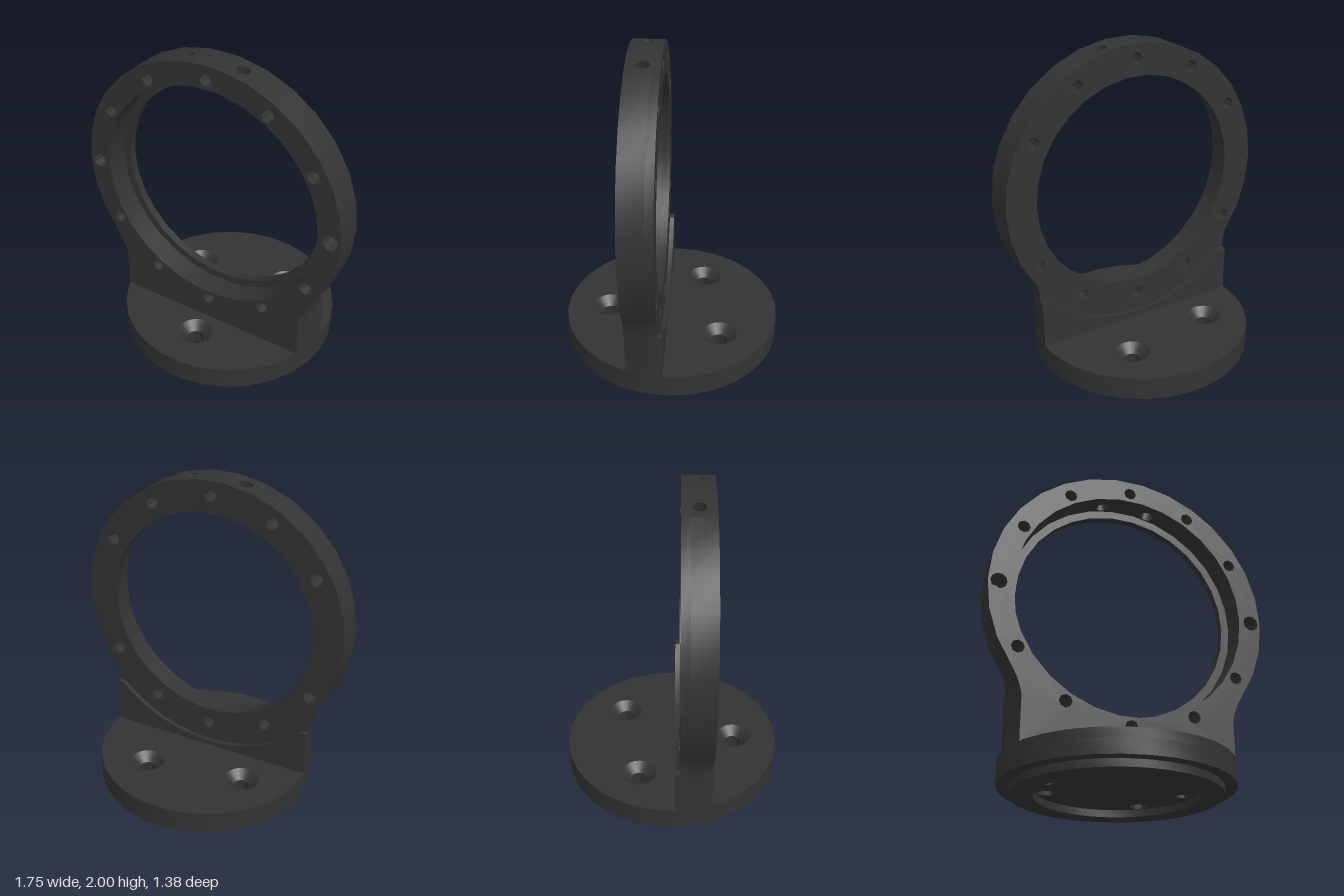
import * as THREE from 'three';
import { mergeGeometries, toCreasedNormals } from 'three/addons/utils/BufferGeometryUtils.js';

const RAD = Math.PI / 180;
const CY = 1.13;              // height of the ring centre
const OUTER = 0.875, BORE = 0.73, LIP = 0.68;
const BACK = 0.05, STEP = 0.10, FRONT = 0.25;
const BASE_R = 0.692, BASE_TOP = 0.19;
const SCREW_ANGLE = 12;       // radial screws sit on the facets 12 degrees off the top

const material = new THREE.MeshStandardMaterial({ color: 0x333333 });
const insideMaterial = new THREE.MeshStandardMaterial({ color: 0x333333, side: THREE.DoubleSide });

// Point on the ring, angle in degrees clockwise from the top
const ringPoint = (r, a) => new THREE.Vector2(r * Math.sin(a * RAD), CY + r * Math.cos(a * RAD));

function circle(x, y, r, n = 30, phase = 0) {
  return Array.from({ length: n }, (_, i) => {
    const a = phase * RAD + (i / n) * Math.PI * 2;
    return new THREE.Vector2(x + r * Math.cos(a), y + r * Math.sin(a));
  });
}

function extrude(points, holes, from, to) {
  const shape = new THREE.Shape(points);
  holes.forEach(h => shape.holes.push(new THREE.Path(h)));
  const g = new THREE.ExtrudeGeometry(shape, { depth: to - from, bevelEnabled: false });
  return g.translate(0, 0, from);
}

function mesh(geometry, name, mat = material) {
  const m = new THREE.Mesh(geometry, mat);
  m.name = name;
  return m;
}

// Ring outline with a waist running into the two legs
function plateOutline() {
  const pts = [];
  for (let a = -126; a <= 126; a += 12) pts.push(ringPoint(OUTER, a));
  const leg = [[0.698, 0.56], [0.692, 0.51], [0.692, 0.46], [0.692, BASE_TOP]];
  leg.forEach(([x, y]) => pts.push(new THREE.Vector2(x, y)));
  [...leg].reverse().forEach(([x, y]) => pts.push(new THREE.Vector2(-x, y)));
  return pts;
}

// Pull the legs in so that they follow the round edge of the base
function wrapLegs(g) {
  const p = g.attributes.position;
  for (let i = 0; i < p.count; i++) {
    const x = p.getX(i), y = p.getY(i), z = p.getZ(i);
    if (Math.abs(x) < 0.6 || y > 0.61) continue;
    const limit = Math.sqrt(BASE_R * BASE_R - z * z);
    const t = THREE.MathUtils.clamp((0.616 - y) / 0.15, 0, 1);
    p.setX(i, Math.sign(x) * THREE.MathUtils.lerp(Math.abs(x), limit, t));
  }
  return g;
}

// Remove the wall facets that the radial screw holes pass through
function dropFacets(g) {
  const p = g.attributes.position, n = g.attributes.normal, keep = [];
  for (let i = 0; i < p.count; i += 3) {
    let x = 0, y = -CY;
    for (let k = 0; k < 3; k++) { x += p.getX(i + k) / 3; y += p.getY(i + k) / 3; }
    const r = Math.hypot(x, y), a = Math.abs(Math.atan2(x, y)) / RAD;
    const wall = Math.abs(n.getZ(i)) < 0.5 && (r > 0.85 || r < 0.735);
    if (!(wall && Math.abs(a - SCREW_ANGLE) < 5.5)) keep.push(i, i + 1, i + 2);
  }
  g.setIndex(keep);
  g.clearGroups();
  return g.toNonIndexed();
}

// Flat facet with a round hole, facing outwards or inwards
function drilledFacet(r, angle, outward) {
  const w = r * Math.sin(6 * RAD), h = (FRONT - STEP) / 2, s = outward ? 1 : -1;
  const shape = new THREE.Shape([[-w, -h], [w, -h], [w, h], [-w, h]].map(([x, y]) => new THREE.Vector2(x, y)));
  shape.holes.push(new THREE.Path(circle(0, s * 0.025, 0.04, 10)));
  return new THREE.ShapeGeometry(shape).toNonIndexed()
    .rotateX(-s * Math.PI / 2)
    .translate(0, r * Math.cos(6 * RAD), (STEP + FRONT) / 2)
    .rotateZ(-angle * RAD)
    .translate(0, CY, 0);
}

function createRing() {
  const group = new THREE.Group();
  group.name = 'ringPlate';
  const bolts = [], blind = [];
  for (let a = 0; a < 360; a += 30) {
    if (a % 180 === 90) {
      const c = ringPoint(0.81, a);
      blind.push(circle(c.x, c.y, 0.05, 10));
    } else {
      const c = ringPoint(0.785, a);
      bolts.push(circle(c.x, c.y, 0.04, 8));
    }
  }
  const outline = plateOutline();
  const lip = wrapLegs(extrude(outline, [circle(0, CY, LIP), ...bolts], BACK, STEP));
  const front = wrapLegs(extrude(outline, [circle(0, CY, BORE), ...bolts, ...blind], STEP, FRONT));
  const facets = [-SCREW_ANGLE, SCREW_ANGLE].flatMap(a =>
    [drilledFacet(OUTER, a, true), drilledFacet(BORE, a, false)]);
  group.add(mesh(toCreasedNormals(lip, 0.5), 'ringBackLip'));
  group.add(mesh(toCreasedNormals(mergeGeometries([dropFacets(front), ...facets]), 0.5), 'ringFront'));

  // Walls of the two radial screw holes
  const r0 = BORE * Math.cos(6 * RAD), r1 = OUTER * Math.cos(6 * RAD);
  for (const a of [-SCREW_ANGLE, SCREW_ANGLE]) {
    const g = new THREE.CylinderGeometry(0.04, 0.04, r1 - r0, 10, 1, true)
      .translate(0, (r0 + r1) / 2, 0.15).rotateZ(-a * RAD).translate(0, CY, 0);
    group.add(mesh(g, 'radialScrewHole', insideMaterial));
  }
  return group;
}

// Thin brace behind the plate, scooped out around the ring
function createBrace() {
  const pts = [[-0.69, BASE_TOP], [0.69, BASE_TOP], [0.69, 0.49]].map(([x, y]) => new THREE.Vector2(x, y));
  for (let a = 135; a <= 225; a += 7.5) pts.push(ringPoint(0.91, a));
  pts.push(new THREE.Vector2(-0.69, 0.49));
  return mesh(toCreasedNormals(extrude(pts, [], 0.02, BACK), 0.5), 'rearBrace');
}

function createBase() {
  const group = new THREE.Group();
  group.name = 'base';
  const sinkY = 0.135;
  const screws = [[0, 0.41], [-0.36, -0.21], [0.26, -0.32]];
  const tapped = [[-0.41, 0], [0.41, 0]];
  const holes = (list, r) => list.map(([x, z]) => circle(x, -z, r, r > 0.1 ? 20 : 8));
  const layer = (r, cut, y0, y1, name) => {
    const g = extrude(circle(0, 0, r), cut, y0, y1).rotateX(-Math.PI / 2);
    group.add(mesh(toCreasedNormals(g, 0.5), name));
  };
  layer(0.62, [circle(0, 0, 0.48)], 0, 0.045, 'footRim');
  layer(BASE_R, [...holes(screws, 0.055), ...holes(tapped, 0.04)], 0.045, sinkY, 'baseDiscLower');
  layer(BASE_R, holes(screws, 0.11), sinkY, BASE_TOP, 'baseDiscUpper');

  // Conical countersinks
  for (const [x, z] of screws) {
    const g = new THREE.CylinderGeometry(0.11, 0.055, BASE_TOP - sinkY, 20, 1, true)
      .translate(x, (BASE_TOP + sinkY) / 2, z);
    group.add(mesh(g, 'countersink', insideMaterial));
  }
  return group;
}

export function createModel() {
  const model = new THREE.Group();
  model.name = 'ringMount';
  model.add(createBase(), createRing(), createBrace());
  return model;
}
